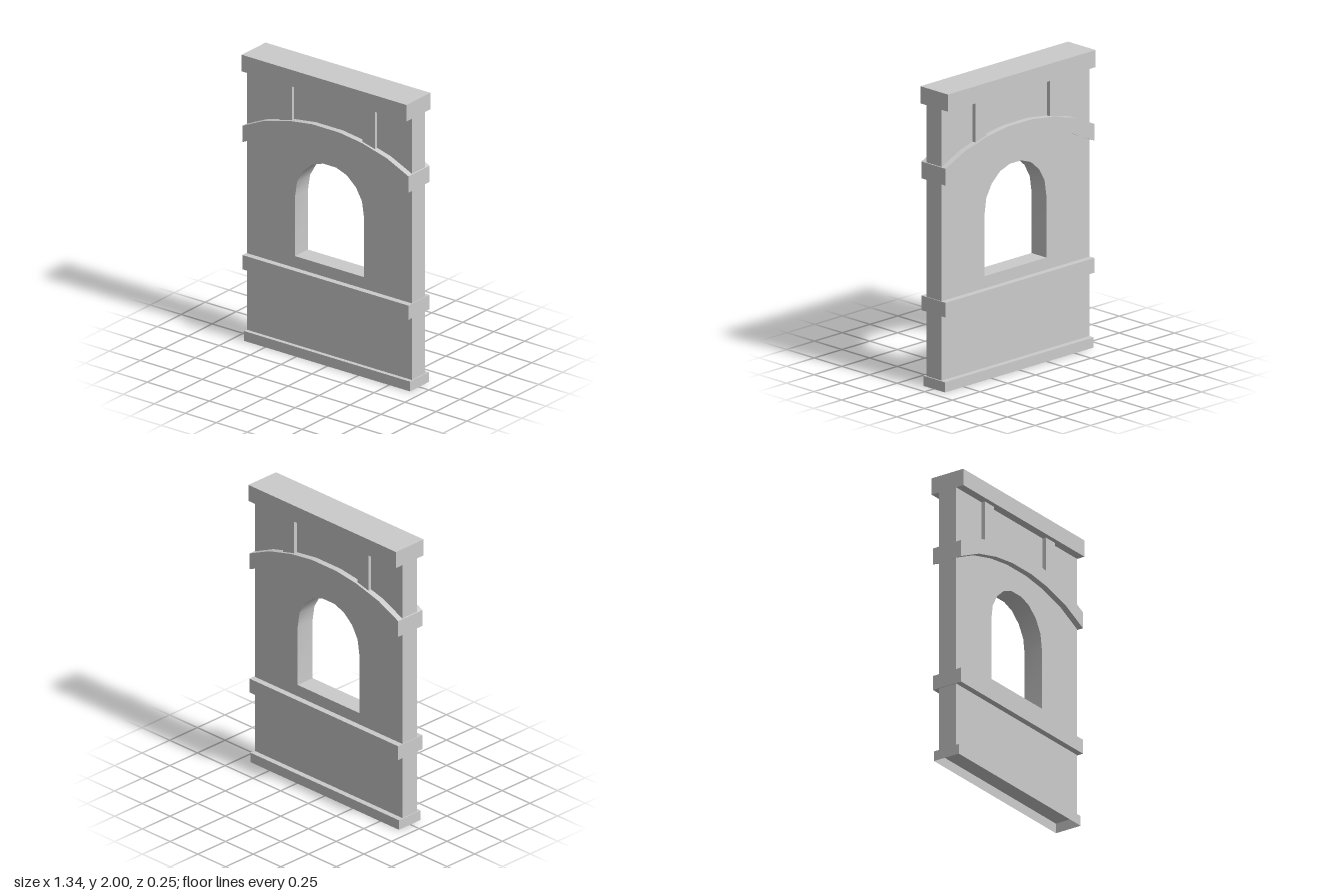
import * as THREE from 'three';
import { toCreasedNormals } from 'three/addons/utils/BufferGeometryUtils.js';

const material = new THREE.MeshStandardMaterial({ color: 0xcccccc });
const openMaterial = new THREE.MeshStandardMaterial({ color: 0xcccccc, side: THREE.DoubleSide });

// Half outline, given from the left end to the middle, mirrored across x = 0
const mirrored = half => [...half, ...half.map(([x, y]) => [-x, y]).reverse()]
  .map(([x, y]) => new THREE.Vector2(x, y));

export function createModel() {
  const group = new THREE.Group();

  const add = (name, geometry, mat = material) => {
    const mesh = new THREE.Mesh(geometry, mat);
    mesh.name = name;
    group.add(mesh);
    return mesh;
  };

  // Box centred on z = 0, spanning y0 to y1
  const block = (name, width, y0, y1, depth, x = 0) =>
    add(name, new THREE.BoxGeometry(width, y1 - y0, depth)).position.set(x, (y0 + y1) / 2, 0);

  // Shape extruded evenly to both sides of z = 0, curves kept smooth
  const slab = (name, shape, depth) => {
    const geometry = new THREE.ExtrudeGeometry(shape, { depth, bevelEnabled: false });
    geometry.translate(0, 0, -depth / 2);
    add(name, toCreasedNormals(geometry, 0.6));
  };

  // Wall panel with round-headed window
  const wall = new THREE.Shape([
    new THREE.Vector2(-0.665, 0.07), new THREE.Vector2(0.665, 0.07),
    new THREE.Vector2(0.665, 1.885), new THREE.Vector2(-0.665, 1.885),
  ]);
  wall.holes.push(new THREE.Path(mirrored([
    [-0.278, 0.683], [-0.278, 1.1], [-0.262, 1.205],
    [-0.213, 1.29], [-0.138, 1.355], [-0.053, 1.385],
  ])));
  slab('wall', wall, 0.135);

  // Shallow arched band running through the wall
  const lower = mirrored([[-0.67, 1.387], [-0.475, 1.478], [-0.285, 1.528], [-0.105, 1.552]]);
  const upper = mirrored([[-0.67, 1.5], [-0.495, 1.58], [-0.295, 1.633], [-0.11, 1.658]]);
  slab('archBand', new THREE.Shape([...lower, ...upper.reverse()]), 0.22);

  // Pilasters between arch and cornice, showing on both faces
  for (const [name, side] of [['leftPilaster', 1], ['rightPilaster', -1]]) {
    block(name, 0.1, 1.6, 1.885, 0.186, side * 0.335);
  }

  block('cornice', 1.33, 1.885, 2, 0.25);
  block('sillBand', 1.34, 0.503, 0.602, 0.22);

  // Plinth, hollow and open underneath: the box loses its bottom face
  const plinth = new THREE.BoxGeometry(1.34, 0.068, 0.195);
  const index = Array.from(plinth.index.array);
  index.splice(18, 6);
  plinth.setIndex(index);
  plinth.clearGroups();
  add('plinth', plinth, openMaterial).position.set(0, 0.034, -0.005);

  return group;
}
